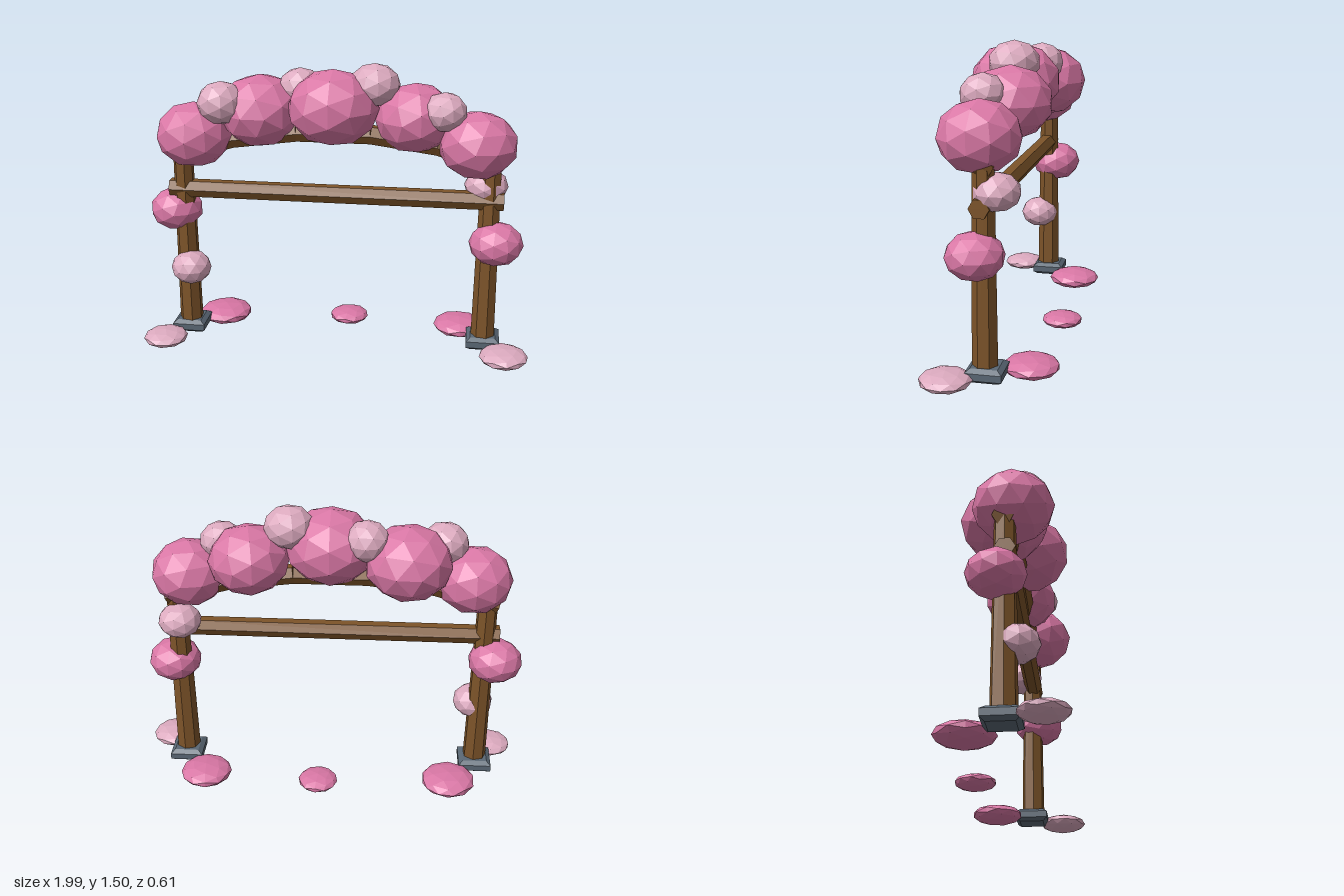
import * as THREE from 'three';

const flat = (name, color) => {
  const m = new THREE.MeshStandardMaterial({ color, flatShading: true });
  m.name = name;
  return m;
};

export function createModel() {
  const model = new THREE.Group();
  model.name = 'blossomArch';
  const wood = flat('wood', 0x7d5429);
  const stone = flat('slateStone', 0x5a6774);
  const pink = flat('pinkBlossom', 0xd977a5);
  const pale = flat('paleBlossom', 0xdcaabf);

  const add = (name, geometry, material) => {
    const mesh = new THREE.Mesh(geometry, material);
    mesh.name = name;
    model.add(mesh);
    return mesh;
  };

  // Straight faceted timber between two points
  const timber = (name, from, to, r0, r1, sides, turn) => {
    const a = new THREE.Vector3(...from), b = new THREE.Vector3(...to);
    const dir = b.clone().sub(a);
    const geometry = new THREE.CylinderGeometry(r1, r0, dir.length(), sides);
    geometry.rotateY(turn);
    const mesh = add(name, geometry, wood);
    mesh.position.copy(a).add(b).multiplyScalar(0.5);
    mesh.quaternion.setFromUnitVectors(new THREE.Vector3(0, 1, 0), dir.normalize());
  };

  // Posts on bevelled stone feet
  for (const [side, x] of [['right', -0.79], ['left', 0.767]]) {
    timber(side + 'Post', [x, 0.06, 0.02], [x, 1.08, 0.02], 0.062, 0.05, 7, 0.3);
    const h = 0.063;
    const square = new THREE.Shape([[-h, -h], [h, -h], [h, h], [-h, h]].map((p) => new THREE.Vector2(...p)));
    const foot = new THREE.ExtrudeGeometry(square, {
      depth: 0.033, bevelThickness: 0.017, bevelSize: 0.022, bevelSegments: 1,
    });
    foot.rotateX(-Math.PI / 2);
    add(side + 'Foot', foot, stone).position.set(x, 0.05, 0.013);
  }

  // Crossbeam and the curved top made of straight timbers
  timber('crossbeam', [-0.862, 0.832, 0.027], [0.835, 0.832, 0.027], 0.048, 0.048, 6, 0);
  const arch = [[-0.84, 1.01], [-0.53, 1.1], [-0.2, 1.145], [0.17, 1.145], [0.5, 1.1], [0.815, 1.01]];
  for (let i = 0; i < arch.length - 1; i++) {
    timber('archTimber' + (i + 1), [...arch[i], 0.015], [...arch[i + 1], 0.015], 0.05, 0.05, 6, 0);
  }

  // Faceted blossom clump: centre, horizontal radius, vertical radius
  let count = 0;
  const blossom = (name, material, x, y, z, r, ry) => {
    const geometry = new THREE.IcosahedronGeometry(1.02, 1);
    geometry.rotateY(count++ * 1.3);
    geometry.scale(r, ry, r);
    add(name, geometry, material).position.set(x, y, z);
  };

  // Large clumps along the arch
  [
    [-0.716, 1.125, 0.05, 0.188, 0.163],
    [-0.39, 1.24, -0.027, 0.213, 0.18],
    [-0.012, 1.284, 0.05, 0.222, 0.185],
    [0.385, 1.23, -0.013, 0.197, 0.17],
    [0.695, 1.122, 0.056, 0.19, 0.164],
  ].forEach((b) => blossom('crownBlossom', pink, ...b));

  // Small pale clumps nestled between them
  [
    [-0.564, 1.297, 0.082, 0.118, 0.106],
    [-0.19, 1.357, -0.05, 0.108, 0.098],
    [0.187, 1.393, 0.013, 0.123, 0.104],
    [0.53, 1.285, 0.08, 0.107, 0.095],
  ].forEach((b) => blossom('crownPaleBlossom', pale, ...b));

  // Clumps growing on the posts
  blossom('postBlossom', pink, -0.848, 0.705, -0.012, 0.134, 0.108);
  blossom('postBlossom', pink, 0.807, 0.616, 0.053, 0.134, 0.108);
  blossom('postPaleBlossom', pale, -0.762, 0.41, 0.072, 0.102, 0.086);
  blossom('postPaleBlossom', pale, 0.746, 0.892, -0.033, 0.108, 0.086);

  // Flattened petal piles on the ground
  blossom('groundPetals', pink, -0.645, 0.053, -0.16, 0.138, 0.049);
  blossom('groundPetals', pink, 0.04, 0.055, -0.206, 0.101, 0.036);
  blossom('groundPetals', pink, 0.64, 0.053, -0.166, 0.131, 0.046);
  blossom('groundPalePetals', pale, -0.885, 0.055, 0.19, 0.112, 0.039);
  blossom('groundPalePetals', pale, 0.872, 0.055, 0.178, 0.121, 0.042);

  return model;
}
